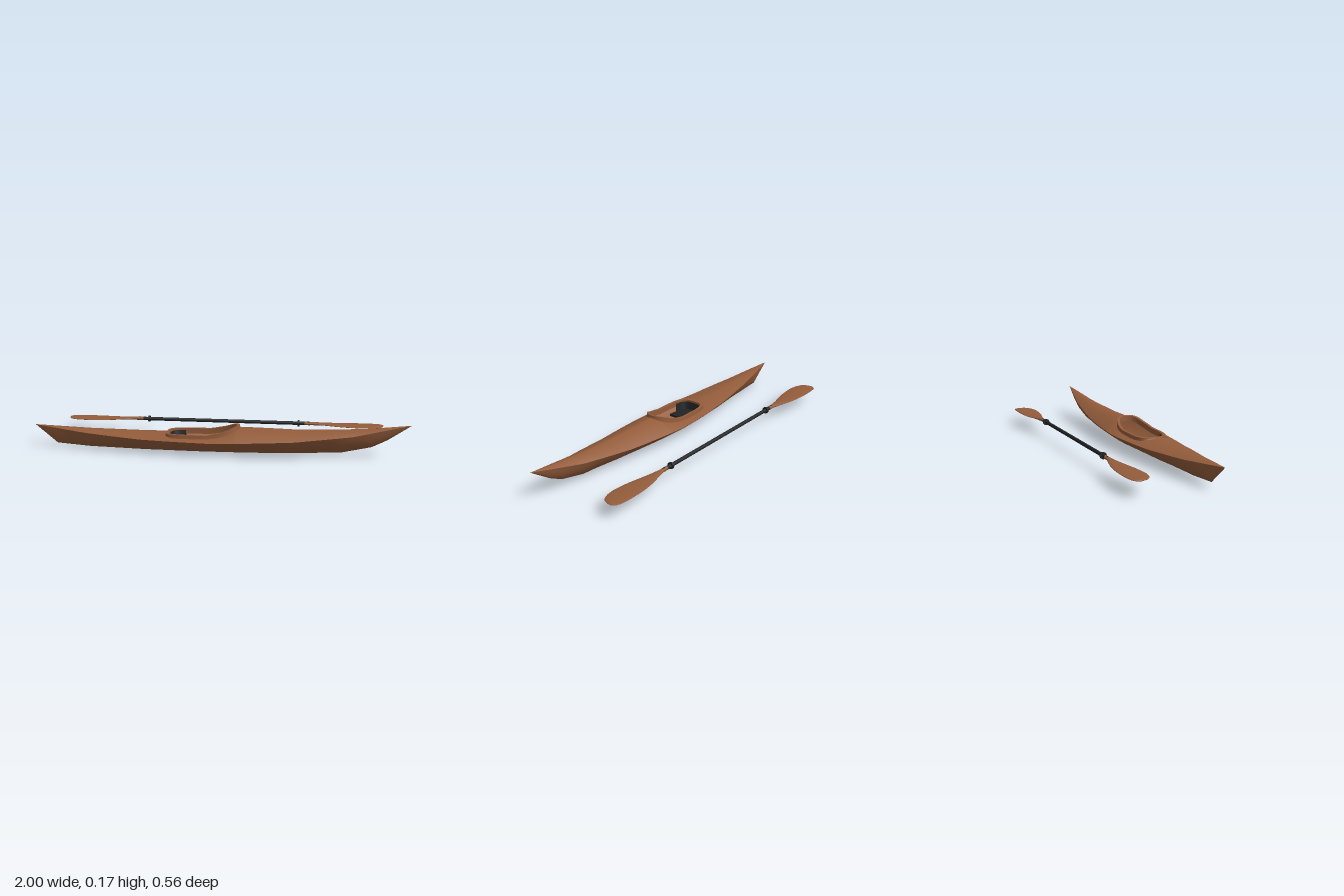
import * as THREE from 'three';
import { toCreasedNormals } from 'three/addons/utils/BufferGeometryUtils.js';

const wood = new THREE.MeshStandardMaterial({ color: 0x935c3b, side: THREE.DoubleSide });
wood.name = 'warm brown';
const black = new THREE.MeshStandardMaterial({ color: 0x222324, side: THREE.DoubleSide });
black.name = 'black';

// Piecewise-linear lookup in a list of [x, value] pairs
function curve(points) {
  return (x) => {
    let i = 1;
    while (i < points.length - 1 && x > points[i][0]) i++;
    const [x0, a] = points[i - 1], [x1, b] = points[i];
    return a + (b - a) * THREE.MathUtils.clamp((x - x0) / (x1 - x0), 0, 1);
  };
}

// Skin over rows of [x, y, z] points
function skin(rows) {
  const n = rows[0].length, index = [];
  for (let i = 0; i < rows.length - 1; i++) {
    for (let j = 0; j < n - 1; j++) {
      const a = i * n + j, b = a + n;
      index.push(a, b, a + 1, b, b + 1, a + 1);
    }
  }
  const g = new THREE.BufferGeometry();
  g.setAttribute('position', new THREE.Float32BufferAttribute(rows.flat(2), 3));
  g.setIndex(index);
  g.computeVertexNormals();
  return g;
}

function add(parent, name, geometry, material) {
  const mesh = new THREE.Mesh(geometry, material);
  mesh.name = name;
  parent.add(mesh);
  return mesh;
}

// Boat lines: keel, widest edge, deck ridge, cockpit rim height
const keel = curve([[-1, 0.12], [-0.88, 0.022], [-0.7, 0.009], [-0.4, 0.002], [-0.1, 0], [0.15, 0.002],
  [0.4, 0.008], [0.65, 0.022], [0.8, 0.055], [0.88, 0.095], [1, 0.175]]);
const sheer = curve([[-1, 0.12], [-0.7, 0.094], [-0.4, 0.08], [0, 0.077], [0.4, 0.09], [0.7, 0.118], [1, 0.175]]);
const ridge = curve([[-1, 0.12], [-0.8, 0.109], [-0.5, 0.1], [-0.25, 0.099], [-0.05, 0.106], [0.1, 0.139],
  [0.2, 0.139], [0.4, 0.135], [0.6, 0.14], [0.8, 0.153], [1, 0.175]]);
const rimY = curve([[-0.28, 0.106], [-0.05, 0.108], [0.03, 0.125], [0.09, 0.148], [0.12, 0.153]]);
const MID = -0.03;
const beam = (x) => {
  const t = x > MID ? (x - MID) / (1 - MID) : (MID - x) / (1 + MID);
  return 0.135 * Math.max(0, 1 - Math.pow(t, 1.6));
};
const deckY = (x, z) => {
  const b = beam(x), s = b > 0 ? Math.min(1, Math.abs(z) / b) : 0;
  return sheer(x) + (ridge(x) - sheer(x)) * (1 - Math.pow(s, 1.6));
};

// Cockpit outline: squarer behind, rounder in front
const CX = -0.082, LEN = 0.18, WID = 0.077;
const signPow = (v, e) => Math.sign(v) * Math.pow(Math.abs(v), e);
function outline(t, grow = 0) {
  const c = Math.cos(t), s = Math.sin(t), e = c > 0 ? 0.85 : 0.5;
  return [CX + (LEN + grow) * signPow(c, e), (WID + grow) * signPow(s, e)];
}
function openingHalf(x) {
  const u = Math.abs(x - CX) / LEN, n = x > CX ? 2 / 0.85 : 4;
  return u >= 1 ? 0 : WID * Math.pow(1 - Math.pow(u, n), 1 / n);
}

function makeKayak() {
  const kayak = new THREE.Group();
  kayak.name = 'kayak';
  kayak.position.z = 0.145;

  // Stations along the boat, finer around the cockpit
  const xs = [-1, -0.96, -0.92, -0.88, -0.8, -0.7, -0.6, -0.5, -0.4, -0.32];
  for (let i = 24; i >= 0; i--) xs.push(outline((i / 24) * Math.PI)[0]);
  xs.push(0.13, 0.2, 0.3, 0.4, 0.5, 0.6, 0.65, 0.7, 0.75, 0.8, 0.84, 0.88, 0.92, 0.96, 1);

  // Hull below the widest edge
  const half = [[1, 1], [0.82, 0.72], [0.6, 0.44], [0.3, 0.18]];
  const section = [...half.map(([w, h]) => [-w, h]), [0, 0], ...half.slice().reverse()];
  add(kayak, 'hull', skin(xs.map((x) =>
    section.map(([w, h]) => [x, keel(x) + (sheer(x) - keel(x)) * h, w * beam(x)]))), wood);

  // Deck halves, left open at the cockpit
  const N = 8;
  for (const side of [1, -1]) {
    const rows = xs.map((x) => {
      const b = beam(x), h = openingHalf(x), row = [];
      for (let j = 0; j <= N; j++) {
        const z = b + (h - b) * (j / N);
        row.push([x, deckY(x, z), z * side]);
      }
      return side > 0 ? row : row.reverse();
    });
    add(kayak, side > 0 ? 'deckLeft' : 'deckRight', skin(rows), wood);
  }

  // Raised rim around the cockpit
  const rim = [];
  for (let i = 0; i <= 64; i++) {
    const t = (i / 64) * Math.PI * 2;
    const [xi, zi] = outline(t), [xo, zo] = outline(t, 0.015), [xb, zb] = outline(t, 0.018);
    rim.push([
      [xi, rimY(xi) - 0.03, zi],
      [xi, rimY(xi), zi],
      [xo, rimY(xo), zo],
      [xo, rimY(xo) - 0.005, zo],
      [xb, deckY(xb, zb) - 0.002, zb],
    ]);
  }
  add(kayak, 'cockpitRim', toCreasedNormals(skin(rim), 0.7), wood);

  // Seat pan and wrapped backrest
  const pan = new THREE.Shape([[-0.258, -0.058], [-0.13, -0.069], [-0.13, 0.069], [-0.258, 0.058]]
    .map(([x, z]) => new THREE.Vector2(x, z)));
  const panGeo = new THREE.ExtrudeGeometry(pan, { depth: 0.012, bevelEnabled: false });
  panGeo.rotateX(-Math.PI / 2);
  add(kayak, 'seatPan', panGeo, black).position.y = 0.043;
  const back = [];
  for (let i = 0; i <= 20; i++) {
    const [x, z] = outline(Math.PI * (0.62 + 0.76 * (i / 20)), -0.005);
    back.push([[x + 0.01, 0.045, z * 0.93], [x, 0.098, z]]);
  }
  add(kayak, 'seatBack', skin(back), black);
  return kayak;
}

function makePaddle() {
  const paddle = new THREE.Group();
  paddle.name = 'paddle';
  paddle.position.set(-0.025, 0, -0.222);

  // Shaft with two grip rings
  const shaft = add(paddle, 'shaft', new THREE.CylinderGeometry(0.01, 0.01, 0.98, 16), black);
  shaft.rotation.z = Math.PI / 2;
  shaft.position.y = 0.085;
  for (const side of [1, -1]) {
    const ring = add(paddle, 'dripRing', new THREE.CylinderGeometry(0.018, 0.018, 0.01, 20), black);
    ring.rotation.z = Math.PI / 2;
    ring.position.set(side * 0.427, 0.085, 0);
  }

  // Blade stations: distance, far edge, near edge, middle height, half thickness
  const stations = [
    [0.46, -0.0105, 0.0105, 0.085, 0.0105], [0.5, -0.013, 0.012, 0.085, 0.009],
    [0.565, -0.031, 0.025, 0.084, 0.006], [0.62, -0.044, 0.04, 0.082, 0.005],
    [0.68, -0.053, 0.053, 0.081, 0.005], [0.74, -0.057, 0.06, 0.081, 0.005],
    [0.79, -0.058, 0.062, 0.081, 0.005], [0.835, -0.056, 0.056, 0.081, 0.005],
    [0.867, -0.052, 0.043, 0.081, 0.005], [0.885, -0.044, 0.027, 0.081, 0.004],
    [0.894, -0.032, 0.005, 0.08, 0.003], [0.897, -0.015, -0.014, 0.08, 0.0005],
  ];
  for (const side of [1, -1]) {
    const rows = stations.map(([u, lo, hi, y, th]) => {
      const row = [];
      for (let j = 0; j <= 16; j++) {
        const a = -side * (j / 16) * Math.PI * 2;
        row.push([side * u, y + th * Math.sin(a), (lo + hi) / 2 + ((hi - lo) / 2) * Math.cos(a)]);
      }
      return row;
    });
    add(paddle, side > 0 ? 'bladeLeft' : 'bladeRight', skin(rows), wood);
  }
  return paddle;
}

export function createModel() {
  const model = new THREE.Group();
  model.name = 'kayakWithPaddle';
  model.add(makeKayak(), makePaddle());
  return model;
}
